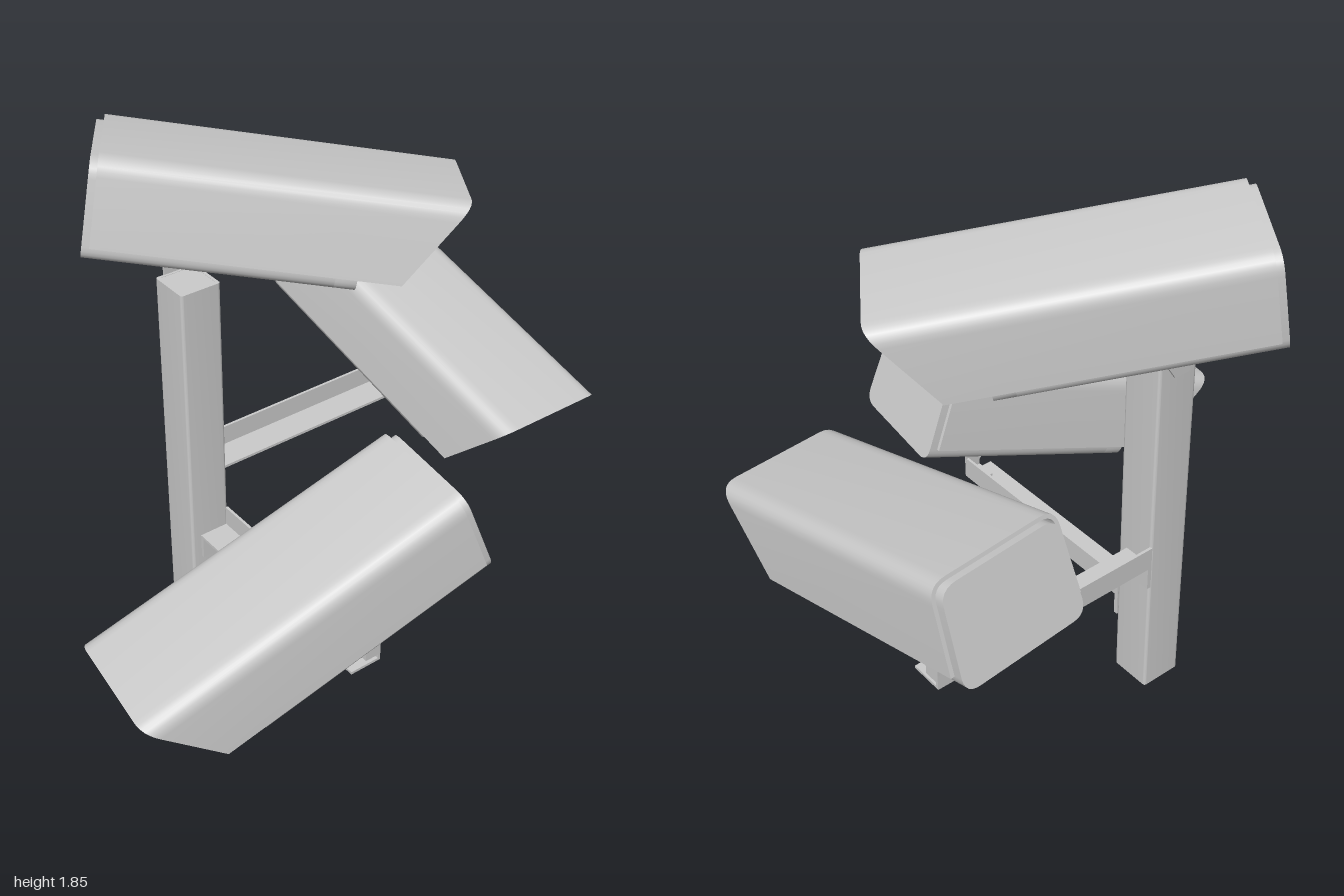
import * as THREE from 'three';
import { toCreasedNormals } from 'three/addons/utils/BufferGeometryUtils.js';

const material = new THREE.MeshStandardMaterial({ color: 0xcccccc, side: THREE.DoubleSide });

function addMesh(parent, name, geometry, x = 0, y = 0, z = 0) {
  const mesh = new THREE.Mesh(geometry, material);
  mesh.name = name;
  mesh.position.set(x, y, z);
  parent.add(mesh);
  return mesh;
}

const extrude = (shape, depth) =>
  new THREE.ExtrudeGeometry(shape, { depth, bevelEnabled: false, curveSegments: 6 });
const crease = (geometry) => toCreasedNormals(geometry, 0.6);

// Rounded trapezoid: half widths at the top and bottom, corner radii at the top and bottom
function roundedShape(topHalf, bottomHalf, top, bottom, rTop, rBottom, Type = THREE.Shape) {
  const s = new Type();
  s.moveTo(-bottomHalf + rBottom, bottom);
  s.lineTo(bottomHalf - rBottom, bottom);
  s.quadraticCurveTo(bottomHalf, bottom, bottomHalf, bottom + rBottom);
  s.lineTo(topHalf, top - rTop);
  s.quadraticCurveTo(topHalf, top, topHalf - rTop, top);
  s.lineTo(-topHalf + rTop, top);
  s.quadraticCurveTo(-topHalf, top, -topHalf, top - rTop);
  s.lineTo(-bottomHalf, bottom + rBottom);
  s.quadraticCurveTo(-bottomHalf, bottom, -bottomHalf + rBottom, bottom);
  return s;
}

// Thin sunshade with an open bottom and a front edge raked back towards the bottom
function hoodGeometry() {
  const length = 1.16, drop = 0.29, rake = 0.175, t = 0.013, r = 0.06;
  const s = new THREE.Shape();
  s.moveTo(-0.24, -drop);
  s.lineTo(-0.228, -r);
  s.quadraticCurveTo(-0.226, 0, -0.226 + r, 0);
  s.lineTo(0.226 - r, 0);
  s.quadraticCurveTo(0.226, 0, 0.228, -r);
  s.lineTo(0.24, -drop);
  s.lineTo(0.24 - t, -drop);
  s.lineTo(0.228 - t, -r);
  s.quadraticCurveTo(0.226 - t, -t, 0.226 - r, -t);
  s.lineTo(-0.226 + r, -t);
  s.quadraticCurveTo(-0.226 + t, -t, -0.228 + t, -r);
  s.lineTo(-0.24 + t, -drop);
  s.closePath();
  const geometry = extrude(s, length);
  const p = geometry.attributes.position;
  for (let i = 0; i < p.count; i++) {
    if (p.getZ(i) > length / 2) p.setZ(i, length + (p.getY(i) * rake) / drop);
  }
  return crease(geometry);
}

// One camera: origin at the top of the hood's rear edge, lens towards +z
function createCamera(name, position, yaw, pitch, roll) {
  const camera = new THREE.Group();
  camera.name = name;
  camera.position.set(...position);
  camera.rotation.set(...[pitch, yaw, roll].map(THREE.MathUtils.degToRad), 'YXZ');

  const outline = () => roundedShape(0.211, 0.222, -0.015, -0.345, 0.06, 0.05);
  addMesh(camera, 'hood', hoodGeometry());
  addMesh(camera, 'housing', crease(extrude(outline(), 0.8)), 0, 0, -0.025);

  // Raised frame around the recessed window
  const frame = outline();
  frame.holes.push(roundedShape(0.16, 0.168, -0.06, -0.295, 0.04, 0.04, THREE.Path));
  addMesh(camera, 'windowFrame', crease(extrude(frame, 0.07)), 0, 0, 0.775);
  return camera;
}

// Hanging trapezoid plate with a sloped flange that carries the camera
function createBracket(x, highY, lowY, bottomY) {
  const bracket = new THREE.Group();
  bracket.name = 'bracket';
  const s = new THREE.Shape([
    new THREE.Vector2(0.085, highY), new THREE.Vector2(-0.08, lowY),
    new THREE.Vector2(0.02, bottomY), new THREE.Vector2(0.08, bottomY),
  ]);
  addMesh(bracket, 'bracketPlate', extrude(s, 0.01).rotateY(Math.PI / 2), x - 0.01);
  const rise = highY - lowY;
  const flange = addMesh(bracket, 'bracketFlange',
    new THREE.BoxGeometry(0.15, 0.01, Math.hypot(0.165, rise)),
    x - 0.075, (highY + lowY) / 2, -0.0025);
  flange.rotation.x = Math.atan2(rise, 0.165);
  return bracket;
}

// Angle-section arm reaching out along +x from the post axis
function createArm(name, y, yaw) {
  const arm = new THREE.Group();
  arm.name = name;
  arm.position.set(-0.145, y, -0.37);
  arm.rotation.y = yaw;
  const start = 0.075, end = 0.945, length = end - start, mid = (start + end) / 2;
  addMesh(arm, 'armWeb', new THREE.BoxGeometry(length, 0.085, 0.01), mid, 0.0425, -0.075);
  addMesh(arm, 'armFlange', new THREE.BoxGeometry(length, 0.01, 0.12), mid, 0.005, -0.02);
  addMesh(arm, 'wallPlate', new THREE.BoxGeometry(0.015, 0.085, 0.12), start + 0.0075, -0.0425, -0.02);
  addMesh(arm, 'bracketFoot', new THREE.BoxGeometry(0.09, 0.01, 0.06), end - 0.045, 0.03, -0.05);
  addMesh(arm, 'bracketNeck', new THREE.BoxGeometry(0.01, 0.05, 0.06), end - 0.005, 0.05, -0.05);
  arm.add(createBracket(end, 0.236, 0.175, 0.056));
  return arm;
}

export function createModel() {
  const model = new THREE.Group();
  model.name = 'cameraPost';

  // Hollow square post with a closed top
  const post = new THREE.Group();
  post.name = 'post';
  post.position.set(-0.145, 0, -0.37);
  model.add(post);
  const tube = roundedShape(0.077, 0.077, 0.077, -0.077, 0.01, 0.01);
  tube.holes.push(roundedShape(0.066, 0.066, 0.066, -0.066, 0.005, 0.005, THREE.Path));
  addMesh(post, 'postTube', crease(extrude(tube, 1.34).rotateX(-Math.PI / 2)));
  addMesh(post, 'postCap', new THREE.BoxGeometry(0.14, 0.01, 0.14), 0, 1.334, 0);

  // Side arms
  model.add(createArm('rightArm', 0.55, 0));
  model.add(createArm('frontArm', 0.32, -Math.PI / 2));

  // Bracket behind the post top
  const topBracket = createBracket(0.085, 0.25, 0.23, 0.075);
  topBracket.name = 'topBracket';
  topBracket.position.set(-0.105, 1.215, -0.37);
  topBracket.rotation.y = Math.PI / 2;
  model.add(topBracket);

  // Cameras: position, yaw, pitch, roll
  model.add(createCamera('topCamera', [-0.312, 1.835, -0.568], 55.5, 9.1, -5.2));
  model.add(createCamera('frontCamera', [0.105, 1.011, 0.53], -96.9, 20.9, 0));
  model.add(createCamera('sideCamera', [0.732, 1.219, -0.654], 1.7, 16.4, -3));
  return model;
}
